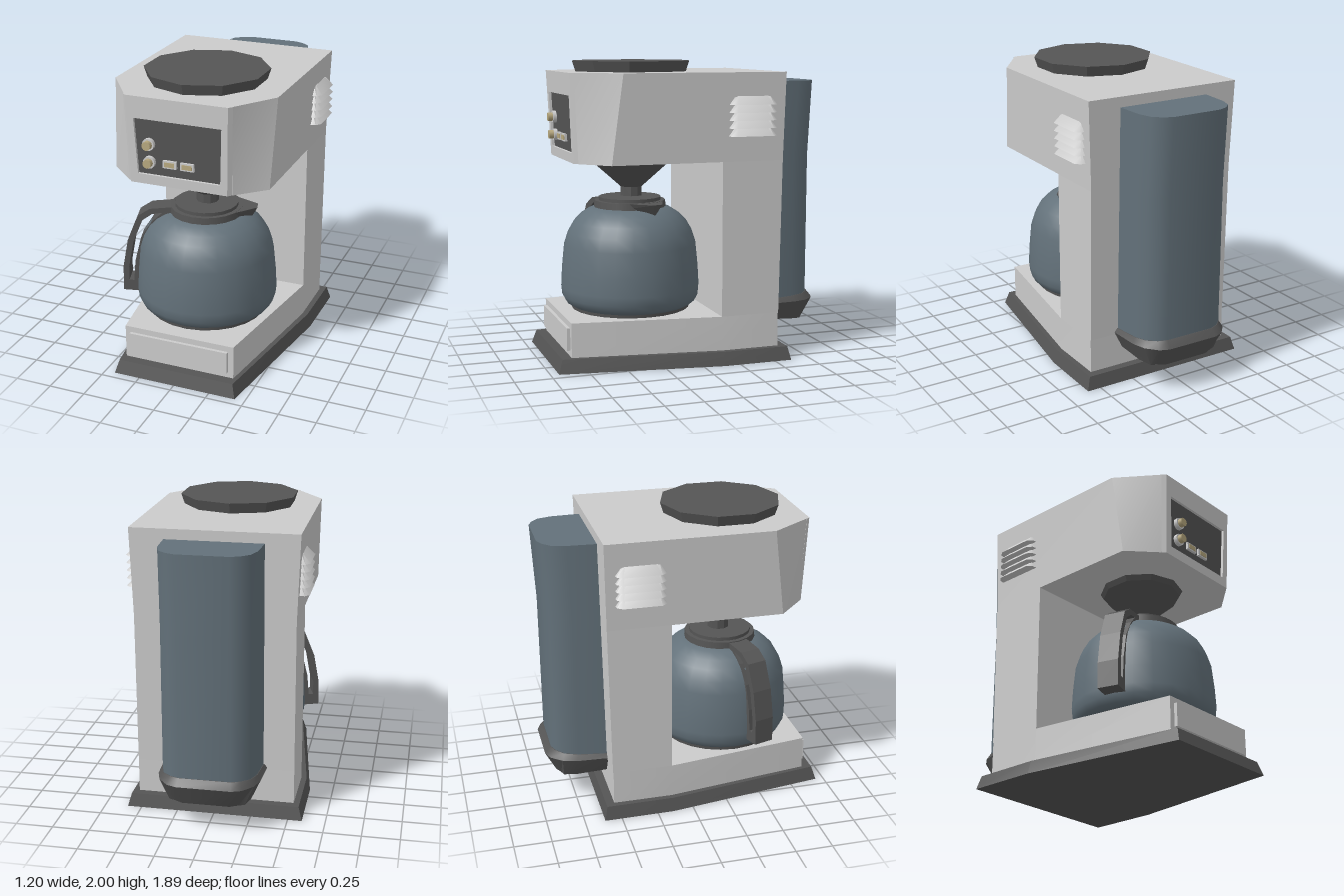
import * as THREE from 'three';
import { toCreasedNormals } from 'three/addons/utils/BufferGeometryUtils.js';
import { ConvexGeometry } from 'three/addons/geometries/ConvexGeometry.js';

const mat = (color, extra = {}) => new THREE.MeshStandardMaterial({ color, ...extra });
const grey = mat(0xcccccc);
const dark = mat(0x555555);
const darkFlat = mat(0x555555, { flatShading: true });
const blue = mat(0x63717a);
const brass = mat(0xb7a87f);

function add(parent, name, geometry, material, x = 0, y = 0, z = 0) {
  const mesh = new THREE.Mesh(geometry, material);
  mesh.name = name;
  mesh.position.set(x, y, z);
  parent.add(mesh);
  return mesh;
}

// Complete a plan outline from its +x half, listed back to front
const mirror = (half) => [...half, ...half.map(([x, z]) => [-x, z]).reverse()];

// Closed solid through stacked plan outlines; yOf lets a level slope with z
function loft(levels, crease = 0.3) {
  const rings = levels.map(({ y, plan }) => plan.map(([x, z]) => [x, typeof y === 'function' ? y(z) : y, z]));
  const pos = [];
  const tri = (...pts) => pts.forEach((p) => pos.push(...p));
  const n = rings[0].length;
  for (let k = 0; k < rings.length - 1; k++) {
    for (let i = 0; i < n; i++) {
      const j = (i + 1) % n;
      const [a, b, c, d] = [rings[k][i], rings[k][j], rings[k + 1][j], rings[k + 1][i]];
      tri(b, a, d);
      tri(b, d, c);
    }
  }
  const low = rings[0], top = rings[rings.length - 1];
  for (let i = 1; i < n - 1; i++) {
    tri(low[0], low[i], low[i + 1]);
    tri(top[0], top[i + 1], top[i]);
  }
  const g = new THREE.BufferGeometry();
  g.setAttribute('position', new THREE.Float32BufferAttribute(pos, 3));
  g.computeVertexNormals();
  return toCreasedNormals(g, crease);
}

const lathe = (pts, sides) => new THREE.LatheGeometry(pts.map(([r, y]) => new THREE.Vector2(r, y)), sides);
const vecs = (pts) => pts.map(([x, y]) => new THREE.Vector2(x, y));

// Front face of the head leans forward as it rises
const frontZ = (y) => 0.806 + ((y - 1.35) / 0.58) * 0.027;

// Apply a rule to each vertex
function reshape(g, rule) {
  const p = g.attributes.position;
  for (let i = 0; i < p.count; i++) p.setXYZ(i, ...rule(p.getX(i), p.getY(i), p.getZ(i)));
  g.computeVertexNormals();
  return g;
}

function makeHousing() {
  const g = new THREE.Group();
  g.name = 'housing';
  add(g, 'foot', loft([
    { y: 0, plan: mirror([[0.595, -0.615], [0.592, -0.14], [0.43, 0.945]]) },
    { y: 0.09, plan: mirror([[0.57, -0.595], [0.567, -0.14], [0.405, 0.917]]) },
  ]), dark);
  const lower = mirror([[0.53, -0.54], [0.53, -0.14], [0.385, 0.85]]);
  add(g, 'lowerBody', loft([{ y: 0.09, plan: lower }, { y: 0.32, plan: lower }]), grey);
  add(g, 'frontPlate', new THREE.BoxGeometry(0.695, 0.15, 0.04), grey, 0, 0.205, 0.852);
  add(g, 'column', loft([
    { y: 0.32, plan: mirror([[0.53, -0.543], [0.53, -0.138]]) },
    { y: 1.35, plan: mirror([[0.53, -0.562], [0.53, -0.138]]) },
  ]), grey);
  add(g, 'head', loft([
    { y: 1.35, plan: mirror([[0.53, -0.562], [0.53, 0.61], [0.35, 0.781]]) },
    { y: 1.93, plan: mirror([[0.55, -0.573], [0.55, 0.536], [0.358, 0.808]]) },
  ]), grey);

  // Front frame with an opening for the recessed panel
  const opening = vecs([[-0.275, 1.415], [0.28, 1.415], [0.295, 1.785], [-0.29, 1.785]]);
  const face = new THREE.Shape(vecs([[-0.325, 1.35], [0.325, 1.35], [0.34, 1.93], [-0.34, 1.93]]));
  face.holes.push(new THREE.Path(opening));
  const frame = new THREE.ExtrudeGeometry(face, { depth: 0.025, bevelEnabled: false });
  add(g, 'headFrontFrame', reshape(frame, (x, y, z) =>
    [Math.abs(x) > 0.3 && z < 0.01 ? x + Math.sign(x) * 0.022 : x, y, z + frontZ(y) - 0.025]), grey);
  add(g, 'controlPanel', reshape(new THREE.ShapeGeometry(new THREE.Shape(opening)),
    (x, y) => [x, y, frontZ(y) - 0.018]), dark);

  // Hot lid on top
  add(g, 'topLid', new THREE.CylinderGeometry(0.408, 0.385, 0.07, 10), darkFlat, -0.005, 1.965, 0.322);
  return g;
}

function makeControls() {
  const g = new THREE.Group();
  g.name = 'controls';
  for (const y of [1.62, 1.5]) {
    const z = frontZ(y);
    add(g, 'knobCollar', new THREE.CylinderGeometry(0.04, 0.04, 0.03, 12), grey, -0.195, y, z - 0.008).rotation.x = Math.PI / 2;
    add(g, 'knob', new THREE.CylinderGeometry(0.029, 0.029, 0.045, 12), brass, -0.195, y, z + 0.015).rotation.x = Math.PI / 2;
  }
  for (const x of [-0.058, 0.06]) {
    add(g, 'buttonFrame', new THREE.BoxGeometry(0.092, 0.05, 0.02), grey, x, 1.5, frontZ(1.5) - 0.012);
    add(g, 'button', new THREE.BoxGeometry(0.066, 0.03, 0.02), brass, x, 1.5, frontZ(1.5) - 0.007);
  }
  return g;
}

// Five awning-shaped louvres on each side
function makeVents(side) {
  const g = new THREE.Group();
  g.name = side > 0 ? 'leftVent' : 'rightVent';
  g.position.set(side * 0.53, 0, -0.34);
  if (side < 0) g.rotation.y = Math.PI;
  const low = [[0, -0.165], [0.04, -0.16], [0.068, -0.125], [0.068, 0.125], [0.04, 0.16], [0, 0.165]];
  const high = [[0, -0.125], [0.01, -0.123], [0.016, -0.1], [0.016, 0.1], [0.01, 0.123], [0, 0.125]];
  const louvre = loft([{ y: 0, plan: low }, { y: 0.055, plan: high }], 0.8);
  for (let i = 0; i < 5; i++) add(g, 'louvre', louvre, grey, 0, 1.517 + i * 0.051, 0);
  return g;
}

function makeTank() {
  const g = new THREE.Group();
  g.name = 'waterTank';
  const plan = (back, grow = 0) => mirror([
    [0.17 + grow * 0.4, back - grow], [0.23 + grow * 0.6, back + 0.025 - grow], [0.285 + grow, back + 0.075],
    [0.313 + grow, back + 0.165], [0.325 + grow, -0.535],
  ]);
  add(g, 'tankBody', loft([
    { y: 0.35, plan: plan(-0.903) },
    { y: 1.35, plan: plan(-0.905) },
    { y: 1.862, plan: plan(-0.933) },
  ], 0.75), blue);
  add(g, 'tankCap', loft([
    { y: (z) => 0.215 + (z + 0.54) * 0.075, plan: plan(-0.905, -0.035) },
    { y: 0.335, plan: plan(-0.92, 0.025) },
    { y: (z) => 0.36 - (z + 0.54) * 0.06, plan: plan(-0.903, 0.004) },
  ], 0.5), dark);
  return g;
}

function makeCarafe() {
  const g = new THREE.Group();
  g.name = 'carafe';
  g.position.set(-0.01, 0, 0.335);
  g.rotation.y = 0.295; // handle turned a little to the front
  add(g, 'carafeBase', new THREE.CylinderGeometry(0.41, 0.405, 0.03, 24), dark, 0, 0.335, 0);
  add(g, 'glass', lathe([
    [0, 0.34], [0.41, 0.342], [0.445, 0.365], [0.469, 0.41], [0.475, 0.47], [0.468, 0.6], [0.452, 0.76],
    [0.425, 0.845], [0.385, 0.915], [0.335, 0.965], [0.28, 1.0], [0.22, 1.02], [0, 1.02],
  ], 24), blue);
  add(g, 'collar', new THREE.CylinderGeometry(0.242, 0.245, 0.045, 20), dark, 0, 1.035, 0);
  add(g, 'carafeLid', new THREE.CylinderGeometry(0.212, 0.212, 0.025, 20), dark, 0, 1.068, 0);

  // Pouring lip opposite the handle
  const lip = [];
  for (const s of [-1, 1]) {
    lip.push(new THREE.Vector3(0.15, 1.056, s * 0.17), new THREE.Vector3(0.34, 1.056, s * 0.035),
      new THREE.Vector3(0.15, 1.015, s * 0.15));
  }
  lip.push(new THREE.Vector3(0.3, 0.972, 0));
  add(g, 'spout', new ConvexGeometry(lip), darkFlat);

  // Looped handle: outer grip and inner strap against the glass
  const loop = new THREE.Shape(vecs([
    [-0.2, 1.055], [-0.375, 1.035], [-0.458, 0.98], [-0.53, 0.8], [-0.566, 0.6], [-0.568, 0.425],
    [-0.455, 0.42], [-0.45, 0.62], [-0.4, 0.81], [-0.324, 0.94], [-0.2, 1.01],
  ]));
  loop.holes.push(new THREE.Path(vecs([
    [-0.495, 0.5], [-0.528, 0.5], [-0.527, 0.6], [-0.493, 0.785], [-0.427, 0.95], [-0.36, 0.998],
    [-0.29, 1.01], [-0.36, 0.945], [-0.44, 0.82], [-0.482, 0.65],
  ])));
  add(g, 'handle', new THREE.ExtrudeGeometry(loop, { depth: 0.14, bevelEnabled: false }), dark, 0, 0, -0.07);
  return g;
}

export function createModel() {
  const model = new THREE.Group();
  model.name = 'coffeeMaker';
  model.add(makeHousing(), makeControls(), makeVents(1), makeVents(-1), makeTank(), makeCarafe());
  // Filter funnel under the head
  add(model, 'funnel', lathe([
    [0, 1.087], [0.075, 1.087], [0.075, 1.15], [0.262, 1.315], [0.283, 1.352], [0, 1.352],
  ], 10), darkFlat, -0.007, 0, 0.325);
  return model;
}
